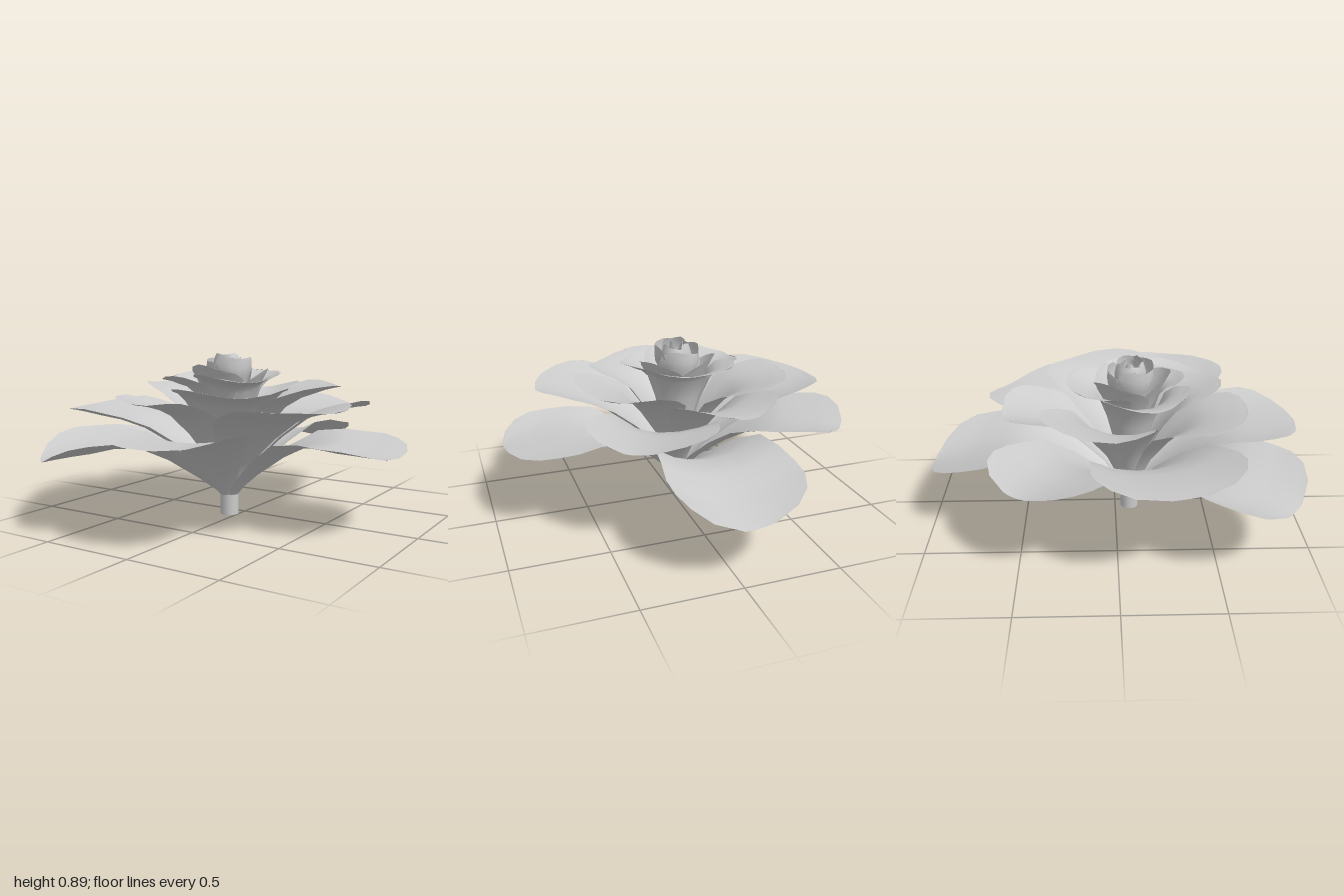
import * as THREE from 'three';

const CX = -0.05, CZ = 0.08; // flower axis
const material = new THREE.MeshStandardMaterial({ color: 0xcccccc, side: THREE.DoubleSide });

// relative half-width of a petal from claw (0) to tip (1)
const WIDTH = [[0, 0.12], [0.25, 0.3], [0.5, 0.86], [0.75, 1], [0.87, 0.94], [0.96, 0.6], [1, 0.22]];
function widthAt(s) {
  const i = Math.max(1, WIDTH.findIndex(([end]) => s <= end));
  const [a, wa] = WIDTH[i - 1], [b, wb] = WIDTH[i];
  return wa + (wb - wa) * (s - a) / (b - a);
}

// one petal: a radial profile [r, y] swept sideways around the flower axis, edges lifted by cup
function makePetal(name, degrees, profile, halfWidth, cup) {
  const curve = new THREE.SplineCurve(profile.map(([r, y]) => new THREE.Vector2(r, y)));
  const rows = 10, cols = 6, pos = [], index = [];
  const phi = THREE.MathUtils.degToRad(degrees);
  for (let j = 0; j <= rows; j++) {
    const s = 1 - Math.pow(1 - j / rows, 1.4);
    const p = curve.getPoint(s);
    const width = widthAt(s);
    const spread = Math.min(1.25, halfWidth * width / p.x);
    const lift = s > 0.75 ? cup * width * width : cup; // the lift fades out at the rounded tip
    for (let i = 0; i <= cols; i++) {
      const u = 2 * i / cols - 1;
      const wave = 0.012 * Math.sin(3.5 * u * width + degrees);
      const a = phi + u * spread;
      pos.push(CX + p.x * Math.cos(a), p.y + (lift * u * u + wave) * s, CZ + p.x * Math.sin(a));
      if (i < cols && j < rows) {
        const k = j * (cols + 1) + i, n = k + cols + 1;
        index.push(k, k + 1, n, k + 1, n + 1, n);
      }
    }
  }
  const geometry = new THREE.BufferGeometry();
  geometry.setAttribute('position', new THREE.Float32BufferAttribute(pos, 3));
  geometry.setIndex(index);
  geometry.computeVertexNormals();
  const mesh = new THREE.Mesh(geometry, material);
  mesh.name = name;
  return mesh;
}

// open petals: [angle, length, middle height, tip height, half-width, cup]
const OUTER = [
  [-91, 1.08, 0.42, 0.31, 0.35, 0.12],
  [-4, 0.97, 0.43, 0.41, 0.36, 0.07],
  [83, 0.91, 0.46, 0.5, 0.36, 0.08],
  [130, 1.0, 0.41, 0.37, 0.36, 0.11],
  [218, 0.91, 0.46, 0.52, 0.33, 0.06],
  [165, 0.89, 0.48, 0.57, 0.4, 0.08],
];
const MIDDLE = [
  [-59, 0.83, 0.52, 0.58, 0.35, 0.07],
  [26, 0.79, 0.53, 0.64, 0.35, 0.06],
  [114, 0.63, 0.55, 0.66, 0.31, 0.05],
  [256, 0.68, 0.58, 0.67, 0.28, 0.05],
  [-25, 0.6, 0.6, 0.72, 0.34, 0.04],
  [208, 0.6, 0.6, 0.71, 0.33, 0.04],
  [56, 0.52, 0.62, 0.71, 0.33, 0.04],
];
const INNER = [
  [155, 0.36, 0.67, 0.76, 0.28, 0.03],
  [253, 0.34, 0.69, 0.78, 0.29, 0.04],
  [36, 0.31, 0.69, 0.77, 0.31, 0.03],
];

function openPetals(name, list) {
  const group = new THREE.Group();
  group.name = name + 's';
  for (const [angle, len, mid, tip, w, cup] of list) {
    const profile = [
      [0.04, 0.11],
      [0.05 + len * 0.1, 0.2 + (mid - 0.4) * 0.7],
      [len * 0.5, mid],
      [len * 0.8, mid + (tip - mid) * 0.65 + 0.01],
      [len, tip],
    ];
    group.add(makePetal(name, angle, profile, w, cup));
  }
  return group;
}

// upright petals wrapped into the bud: [count, first angle, radius, tip height, lean outward, half-width]
const BUD = [
  [3, 95, 0.17, 0.83, 0.04, 0.2],
  [3, 30, 0.12, 0.88, 0, 0.15],
  [3, 80, 0.085, 0.9, -0.02, 0.1],
  [2, 10, 0.045, 0.89, -0.01, 0.05],
];

export function createModel() {
  const model = new THREE.Group();
  model.name = 'flower';

  // stem
  const stem = new THREE.Mesh(new THREE.CylinderGeometry(0.05, 0.05, 0.17, 14), material);
  stem.name = 'stem';
  stem.position.set(CX, 0.095, CZ);
  model.add(stem);

  // layers of open petals
  model.add(openPetals('outerPetal', OUTER));
  model.add(openPetals('middlePetal', MIDDLE));
  model.add(openPetals('innerPetal', INNER));

  // bud
  const bud = new THREE.Group();
  bud.name = 'bud';
  for (const [count, first, r, top, lean, w] of BUD) {
    for (let i = 0; i < count; i++) {
      const y = top - 0.015 * i;
      const profile = [[0.03, 0.15], [0.03 + r * 0.15, 0.45], [r * 0.75, y - 0.17], [r, y - 0.08], [r + lean, y]];
      bud.add(makePetal('budPetal', first + i * 360 / count, profile, w, 0));
    }
  }
  model.add(bud);
  return model;
}
